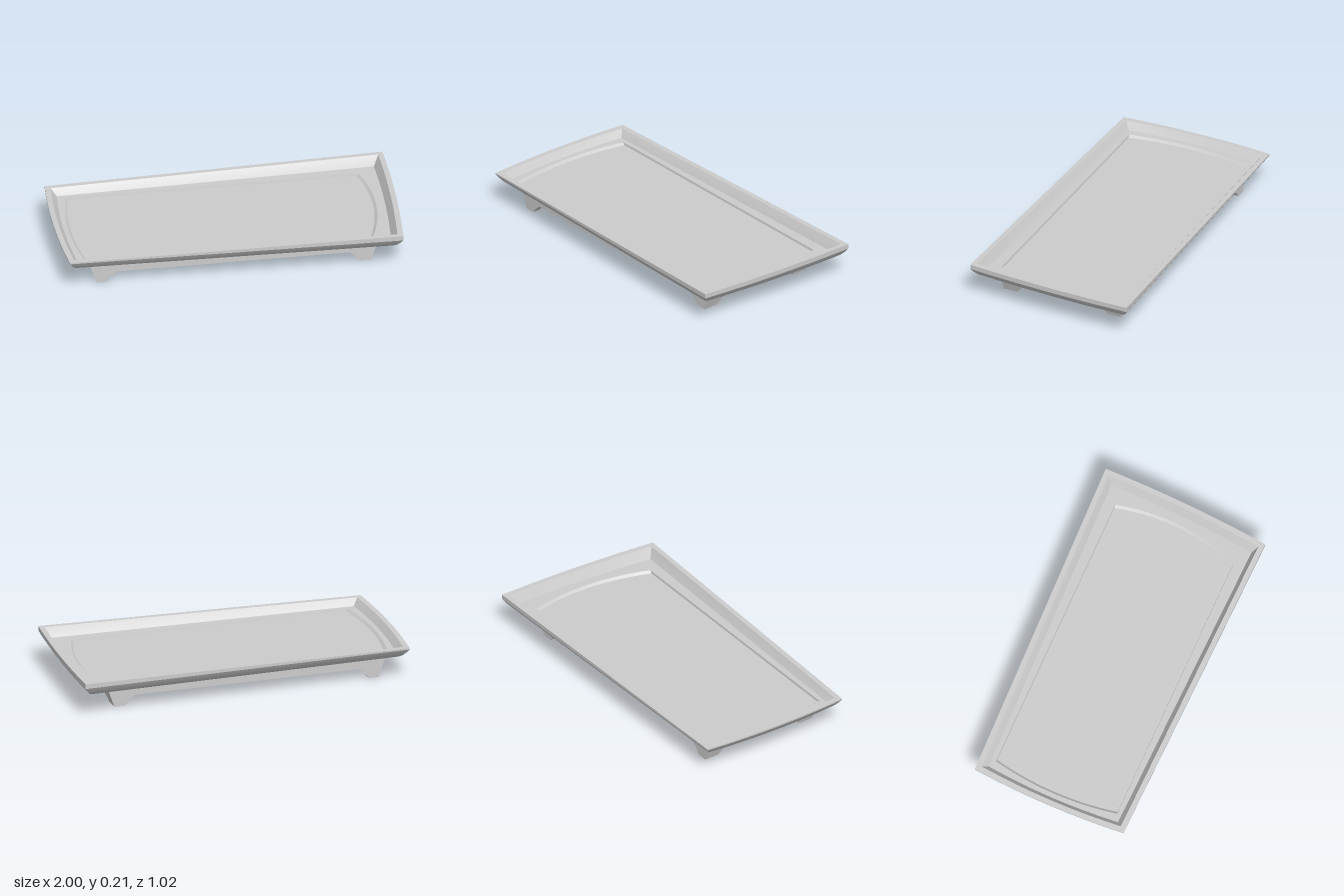
import * as THREE from 'three';
import { toCreasedNormals } from 'three/addons/utils/BufferGeometryUtils.js';

const STEPS = 14; // samples along each bowed end

// Four-cornered outline with straight long sides and bowed ends, as [x, z] points.
// Corners run back-left, back-right, front-right, front-left as seen from above.
function outline(corners, bowLeft, bowRight, insetX = 0, insetZ = insetX) {
  const [a, b, c, d] = corners.map(([x, z]) => [x - Math.sign(x) * insetX, z - Math.sign(z) * insetZ]);
  const points = [];
  const end = (p, q, bow) => {
    for (let i = 0; i <= STEPS; i++) {
      const t = i / STEPS;
      points.push([p[0] + (q[0] - p[0]) * t + bow * 4 * t * (1 - t), p[1] + (q[1] - p[1]) * t]);
    }
  };
  end(b, c, bowRight);
  end(d, a, -bowLeft);
  return points;
}

// Skin a stack of loops and close the first and last with flat caps.
function loft(loops) {
  const n = loops[0].length, positions = [], index = [];
  loops.forEach(loop => loop.forEach(p => positions.push(...p)));
  for (let k = 0; k < loops.length - 1; k++) {
    for (let i = 0; i < n; i++) {
      const j = (i + 1) % n, a = k * n + i, a2 = k * n + j;
      index.push(a, a + n, a2, a2, a + n, a2 + n);
    }
  }
  const last = (loops.length - 1) * n;
  positions.push(0, loops[0][0][1], 0, 0, loops[loops.length - 1][0][1], 0);
  const bottom = loops.length * n;
  for (let i = 0; i < n; i++) {
    const j = (i + 1) % n;
    index.push(bottom, i, j, bottom + 1, last + j, last + i);
  }
  const geometry = new THREE.BufferGeometry();
  geometry.setAttribute('position', new THREE.Float32BufferAttribute(positions, 3));
  geometry.setIndex(index);
  return toCreasedNormals(geometry, 0.45);
}

// Skirt wall: a foot at each end and a low arch between them.
function wallShape(topL, footL, innerL, archL, archR, innerR, footR, topR) {
  const top = 0.13, arch = 0.06, s = new THREE.Shape();
  s.moveTo(topL, top);
  s.lineTo(footL, 0);
  s.lineTo(innerL, 0);
  s.quadraticCurveTo(innerL + (archL - innerL) * 0.55, arch * 0.85, archL, arch);
  s.lineTo(archR, arch);
  s.quadraticCurveTo(innerR + (archR - innerR) * 0.55, arch * 0.85, innerR, 0);
  s.lineTo(footR, 0);
  s.lineTo(topR, top);
  s.closePath();
  return s;
}

export function createModel() {
  const group = new THREE.Group();
  const material = new THREE.MeshStandardMaterial({ color: 0xcccccc });
  const add = (name, geometry) => {
    const mesh = new THREE.Mesh(geometry, material);
    mesh.name = name;
    group.add(mesh);
    return mesh;
  };

  // Tray: curved underside, tilted rim, inner wall, floor and recessed panel
  const rim = [[-0.97, -0.47], [1.0, -0.513], [0.945, 0.507], [-0.985, 0.465]];
  const panel = [[-0.865, -0.385], [0.84, -0.385], [0.79, 0.38], [-0.88, 0.38]];
  const rimHeight = x => 0.199 + 0.01 * x;
  const rimLoop = (inset, y) => outline(rim, 0.022, 0.015, inset)
    .map(([x, z]) => [x, y === undefined ? rimHeight(x) : y, z]);
  const panelLoop = (insetX, insetZ, y) => outline(panel, 0.04, 0.06, insetX, insetZ)
    .map(([x, z]) => [x, y, z]);
  add('tray', loft([
    rimLoop(0.05, 0.127),
    rimLoop(0.032, 0.139),
    rimLoop(0.014, 0.16),
    rimLoop(0, 0.181),
    rimLoop(0),
    rimLoop(0.03),
    rimLoop(0.06, 0.15),
    panelLoop(0, 0, 0.15),
    panelLoop(0.015, 0.003, 0.137),
  ]));

  // Long skirt walls, front and back
  const thickness = 0.05;
  const longShape = wallShape(-0.86, -0.815, -0.755, -0.69, 0.65, 0.715, 0.78, 0.827);
  for (const [name, z] of [['frontSkirt', 0.375 - thickness], ['backSkirt', -0.375]]) {
    const geometry = new THREE.ExtrudeGeometry(longShape, { depth: thickness, bevelEnabled: false, curveSegments: 5 });
    geometry.translate(0, 0, z);
    add(name, geometry);
  }

  // End skirt walls, leaning outward toward the top
  const endShape = wallShape(-0.374, -0.374, -0.285, -0.23, 0.23, 0.285, 0.374, 0.374);
  for (const [name, side, foot] of [['leftSkirt', 1, 0.78], ['rightSkirt', -1, -0.815]]) {
    const geometry = new THREE.ExtrudeGeometry(endShape, { depth: thickness, bevelEnabled: false, curveSegments: 5 });
    geometry.rotateY(Math.PI / 2);
    geometry.translate(side > 0 ? foot - thickness : foot, 0, 0);
    const p = geometry.attributes.position;
    for (let i = 0; i < p.count; i++) p.setX(i, p.getX(i) + side * 0.355 * p.getY(i));
    geometry.computeVertexNormals();
    add(name, geometry);
  }
  return group;
}
